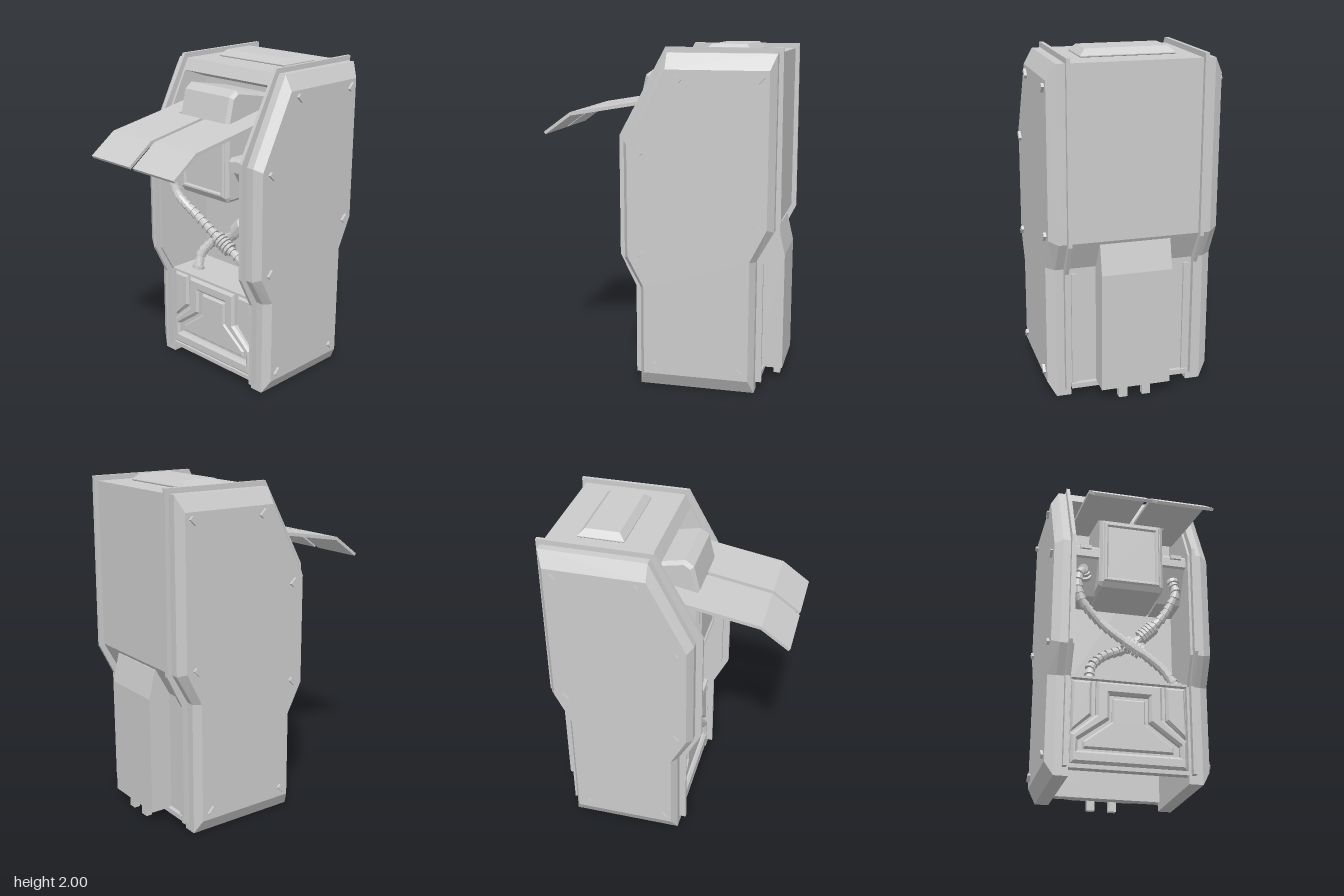
import * as THREE from 'three';

const mat = new THREE.MeshStandardMaterial({ color: 0xcccccc, flatShading: true });

function add(parent, name, geometry, x = 0, y = 0, z = 0) {
  const m = new THREE.Mesh(geometry, mat);
  m.name = name;
  m.position.set(x, y, z);
  parent.add(m);
  return m;
}
const box = (w, h, d) => new THREE.BoxGeometry(w, h, d);
const toShape = pts => new THREE.Shape(pts.map(([a, b]) => new THREE.Vector2(a, b)));

// Extrude a [z, y] profile along x from x0 to x1
function slab(profile, x0, x1, bevel = 0) {
  const g = new THREE.ExtrudeGeometry(toShape(profile.map(([z, y]) => [-z, y])), {
    depth: x1 - x0 - 2 * bevel, bevelEnabled: bevel > 0, bevelSize: bevel,
    bevelThickness: bevel, bevelOffset: -bevel, bevelSegments: 1,
  });
  return g.rotateY(Math.PI / 2).translate(x0 + bevel, 0, 0);
}

// Chamfered plate drawn in x, y and facing +z, with its back at z = 0
function plate(pts, height, bevel, hole) {
  const s = toShape(pts);
  if (hole) s.holes.push(new THREE.Path(hole.map(([a, b]) => new THREE.Vector2(a, b))));
  return new THREE.ExtrudeGeometry(s, {
    depth: Math.max(height - bevel, 0.001), bevelEnabled: bevel > 0, bevelSize: bevel,
    bevelThickness: bevel, bevelOffset: -bevel, bevelSegments: 1,
  });
}

// Join two matching [z, y] outlines at different x and cap the outer one
function chamferCap(inner, outer, x0, x1) {
  const n = inner.length;
  const pos = [];
  for (const [z, y] of inner) pos.push(x0, y, z);
  for (const [z, y] of outer) pos.push(x1, y, z);
  const idx = [];
  for (let i = 0; i < n; i++) {
    const j = (i + 1) % n;
    idx.push(i, j, n + j, i, n + j, n + i);
  }
  const flat = outer.map(([z, y]) => new THREE.Vector2(-z, y));
  for (const t of THREE.ShapeUtils.triangulateShape(flat, [])) idx.push(...t.map(k => k + n));
  const g = new THREE.BufferGeometry();
  g.setAttribute('position', new THREE.Float32BufferAttribute(pos, 3));
  g.setIndex(idx);
  const out = g.toNonIndexed();
  out.computeVertexNormals();
  return out;
}

const OUTLINE = [[0.1, 0], [-0.58, 0], [-0.58, 0.79], [-0.68, 0.97], [-0.68, 1.96],
  [-0.06, 1.96], [0.195, 1.46], [0.195, 0.77], [0.1, 0.6]];
const INSET = [[0.07, 0.085], [-0.55, 0.085], [-0.55, 0.8], [-0.645, 0.99], [-0.645, 1.87],
  [-0.06, 1.87], [0.165, 1.44], [0.165, 0.79], [0.07, 0.61]];
const RAIL = [[0.14, 0.05], [-0.615, 0.05], [-0.615, 0.77], [-0.71, 0.96], [-0.705, 1.99],
  [-0.04, 1.99], [0.235, 1.485], [0.235, 0.78], [0.14, 0.59]];
// z, y, and tilt direction of each side bolt
const BOLTS = [[-0.13, 1.825, 1], [-0.595, 1.825, -1], [0.095, 1.41, 1], [-0.58, 0.995, -1],
  [0.095, 0.81, -1], [0.02, 0.14, -1], [-0.49, 0.14, 1]];

// Everything that exists once on each side, modelled at +x
function buildSide() {
  const side = new THREE.Group();
  add(side, 'sideWall', slab(OUTLINE, 0.355, 0.44));
  add(side, 'sideCover', chamferCap(OUTLINE, INSET, 0.44, 0.49));
  add(side, 'edgeRail', slab(RAIL, 0.37, 0.392));
  for (const [z, y, dir] of BOLTS)
    add(side, 'bolt', box(0.04, 0.05, 0.026), 0.486, y, z).rotation.x = dir * Math.PI / 4;

  // Raised flap, narrower where it passes the central unit
  const top = [[0.16, 1.672], [0.55, 1.605], [0.715, 1.485]];
  const under = [[0.705, 1.47], [0.545, 1.585], [0.16, 1.652]];
  add(side, 'flap', slab([...top, ...under], 0.015, 0.355));
  add(side, 'flapArm', slab([[-0.15, 1.73], [0.16, 1.672], [0.16, 1.652], [-0.15, 1.71]], 0.215, 0.355));

  // Bracket and sloping socket beside the central unit
  add(side, 'bracket', slab([[-0.2, 1.39], [-0.2, 1.47], [0.13, 1.47], [0.15, 1.45], [0.15, 1.39]], 0.2, 0.355));
  add(side, 'bracketLatch', box(0.07, 0.025, 0.02), 0.29, 1.45, 0.155);
  add(side, 'hoseSocket', slab([[-0.2, 1.19], [-0.2, 1.39], [0.12, 1.39], [0.0, 1.19]], 0.2, 0.355));

  // Lower corner panel and foot peg
  add(side, 'cornerPanel', plate([[0.225, 0.585], [0.225, 0.375], [0.345, 0.27], [0.345, 0.585]], 0.03, 0.015), 0, 0, 0.07);
  add(side, 'footPeg', box(0.05, 0.09, 0.04), 0.07, 0.045, -0.67);
  add(side, 'rearStrip', box(0.03, 0.7, 0.02), 0.335, 0.41, -0.585);
  return side;
}

// Ribbed hose of tapered segments, with a ringed coupling at fraction t
function buildHose(points, coupling) {
  const hose = new THREE.Group();
  hose.name = 'hose';
  const curve = new THREE.CatmullRomCurve3(points.map(p => new THREE.Vector3(...p)));
  add(hose, 'hoseCore', new THREE.TubeGeometry(curve, 48, 0.021, 8));
  const up = new THREE.Vector3(0, 1, 0);
  const ring = (name, t, r0, r1, len) => {
    const m = add(hose, name, new THREE.CylinderGeometry(r0, r1, len, 10));
    m.position.copy(curve.getPointAt(t));
    m.quaternion.setFromUnitVectors(up, curve.getTangentAt(t));
  };
  const n = Math.round(curve.getLength() / 0.042);
  for (let i = 0; i < n; i++) ring('hoseSegment', (i + 0.5) / n, 0.033, 0.024, 0.04);
  for (let i = -2; i <= 2; i++) ring('couplingRing', coupling + i * 0.023, 0.05, 0.044, 0.019);
  ring('endCollar', 0.005, 0.042, 0.042, 0.025);
  ring('endCollar', 0.995, 0.042, 0.042, 0.025);
  return hose;
}

export function createModel() {
  const model = new THREE.Group();
  model.name = 'cabinet';

  const left = buildSide();
  left.name = 'leftSide';
  const right = buildSide();
  right.name = 'rightSide';
  right.scale.x = -1;
  model.add(left, right);

  // Body: roof, back, recess and shelf in one profile, hollow below the shelf
  add(model, 'body', slab([[-0.06, 1.96], [-0.68, 1.96], [-0.68, 0.97], [-0.58, 0.79], [-0.58, 0.05],
    [-0.54, 0.05], [-0.54, 0.59], [0.05, 0.59], [0.05, 0.05], [0.07, 0.05], [0.07, 0.61],
    [-0.2, 0.61], [-0.2, 1.83], [-0.025, 1.89]], -0.355, 0.355));

  // Raised roof panel
  const roof = plate([[-0.27, -0.135], [0.27, -0.135], [0.27, 0.135], [-0.27, 0.135]], 0.04, 0.035);
  add(model, 'roofPanel', roof.rotateX(-Math.PI / 2), 0, 1.964, -0.375);

  // Central unit in the recess
  add(model, 'centralUnit', slab([[-0.2, 1.19], [-0.2, 1.8], [0.08, 1.855], [0.13, 1.82], [0.165, 1.67],
    [0.165, 1.22], [0.145, 1.19]], -0.205, 0.205, 0.02));
  add(model, 'unitFace', plate([[-0.18, 1.22], [0.18, 1.22], [0.18, 1.64], [-0.18, 1.64]], 0.012, 0.01,
    [[-0.15, 1.25], [0.15, 1.25], [0.15, 1.61], [-0.15, 1.61]]), 0, 0, 0.163);

  // Lower front frame and its stepped centre panel
  add(model, 'frontFrame', plate([[-0.355, 0.05], [0.355, 0.05], [0.355, 0.61], [-0.355, 0.61]], 0.035, 0,
    [[-0.352, 0.075], [0.352, 0.075], [0.352, 0.595], [-0.352, 0.595]]), 0, 0, 0.07);
  const hood = (xTop, xBase, y0, y1, y2, y3) =>
    [[-xBase, y0], [xBase, y0], [xBase, y1], [xTop, y2], [xTop, y3], [-xTop, y3], [-xTop, y2], [-xBase, y1]];
  add(model, 'centrePanel', plate(hood(0.2, 0.345, 0.08, 0.25, 0.375, 0.585), 0.04, 0.015,
    hood(0.12, 0.305, 0.155, 0.22, 0.355, 0.51)), 0, 0, 0.07);
  add(model, 'centreInset', plate(hood(0.1, 0.27, 0.175, 0.215, 0.345, 0.49), 0.02, 0.01), 0, 0, 0.07);

  // Rear duct with sloping top
  add(model, 'rearDuct', slab([[-0.56, 0.075], [-0.715, 0.075], [-0.715, 0.78], [-0.675, 0.95], [-0.56, 0.95]], -0.205, 0.205));
  add(model, 'rearSill', box(0.71, 0.03, 0.03), 0, 0.065, -0.59);

  // Crossing hoses
  model.add(buildHose([[-0.27, 1.3, 0.04], [-0.29, 1.32, 0.1], [-0.325, 1.26, 0.12], [-0.31, 1.13, 0.1],
    [-0.18, 1.0, 0.05], [0, 0.88, 0.03], [0.125, 0.81, 0.02], [0.25, 0.72, 0], [0.325, 0.62, 0]], 0.655));
  model.add(buildHose([[0.29, 1.32, 0.06], [0.305, 1.23, 0.08], [0.23, 1.08, 0.02], [0.125, 0.97, -0.02],
    [0.02, 0.88, -0.05], [-0.13, 0.81, -0.05], [-0.21, 0.72, -0.02], [-0.225, 0.62, 0]], 0.42));
  return model;
}
